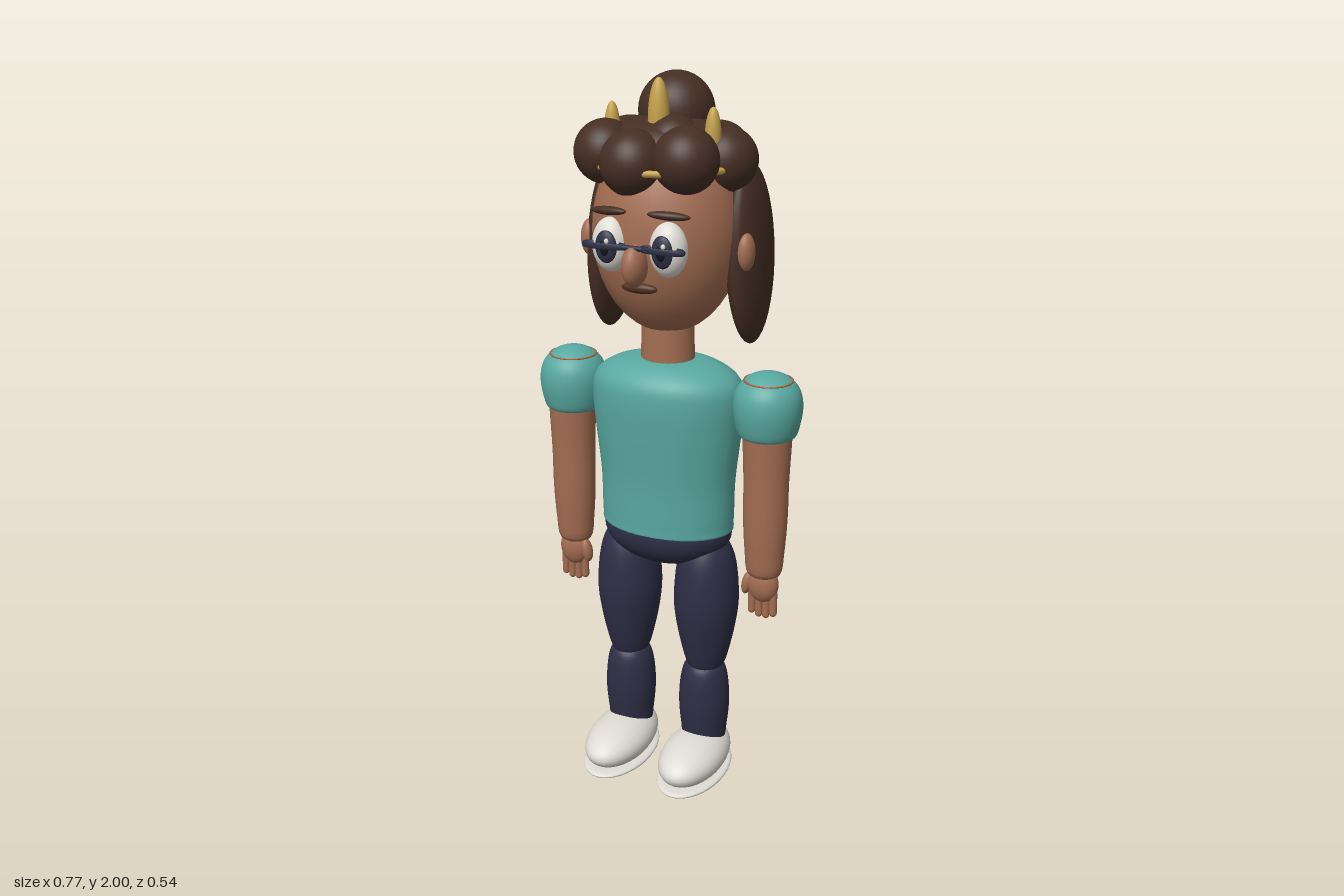
import * as THREE from 'three';

const mat = (name, color) => new THREE.MeshStandardMaterial({ name, color });

export function createModel() {
  const model = new THREE.Group();
  model.name = 'figure';

  const skin = mat('skin', 0xa26d51);
  const hair = mat('hair', 0x452e24);
  const teal = mat('shirt teal', 0x58a8a0);
  const navy = mat('trouser navy', 0x2e2e46);
  const white = mat('white', 0xdedcd4);
  const gold = mat('gold', 0xc4a24a);
  const trim = mat('sleeve trim', 0xb5603c);
  const lipBrown = mat('dark brown', 0x52301f);
  const black = mat('pupil black', 0x14141c);

  const add = (name, geometry, material, pos = [0, 0, 0], scale = [1, 1, 1], rot = [0, 0, 0]) => {
    const mesh = new THREE.Mesh(geometry, material);
    mesh.name = name;
    mesh.position.set(...pos);
    mesh.scale.set(...scale);
    mesh.rotation.set(...rot);
    model.add(mesh);
    return mesh;
  };
  const ball = new THREE.SphereGeometry(1, 32, 20);
  const blob = (name, material, pos, radii, rot) => add(name, ball, material, pos, radii, rot);

  // Smooth turned shape through [radius, y] points listed from bottom to top
  const turned = (points, steps = 28) => {
    const curve = new THREE.SplineCurve(points.map(([r, y]) => new THREE.Vector2(r, y)));
    const profile = curve.getPoints(steps).map((p) => new THREE.Vector2(Math.max(p.x, 0), p.y));
    return new THREE.LatheGeometry(profile, 36);
  };

  // Torso, pelvis and neck
  const torso = turned([[0, 0.77], [0.1, 0.768], [0.183, 0.772], [0.192, 0.80], [0.195, 0.92], [0.21, 1.06],
    [0.216, 1.15], [0.205, 1.205], [0.16, 1.24], [0.10, 1.257], [0, 1.26]], 50);
  add('shirt', torso, teal, [0, 0, 0.03], [1, 1, 0.68]);
  blob('pelvis', navy, [0, 0.765, 0.03], [0.187, 0.105, 0.132]);
  add('neck', new THREE.CylinderGeometry(0.07, 0.075, 0.16, 32), skin, [0, 1.305, 0.03], [1, 1, 0.9]);

  // Head
  blob('head', skin, [0, 1.6, 0.03], [0.2, 0.27, 0.187]);
  blob('nose', skin, [0, 1.548, 0.225], [0.031, 0.055, 0.045]);
  blob('mouth', lipBrown, [0, 1.485, 0.2], [0.05, 0.014, 0.014]);

  // Reusable limb shapes
  const arm = turned([[0, 0.665], [0.045, 0.675], [0.055, 0.74], [0.061, 0.84], [0.062, 0.95],
    [0.067, 1.08], [0.066, 1.14], [0, 1.18]]);
  const sleeve = turned([[0.06, 1.078], [0.077, 1.08], [0.088, 1.115], [0.093, 1.16], [0.086, 1.2],
    [0.064, 1.23], [0.033, 1.247], [0, 1.252]]);
  const thigh = turned([[0, 0.335], [0.045, 0.345], [0.068, 0.41], [0.088, 0.52], [0.09, 0.6],
    [0.078, 0.69], [0.05, 0.745], [0, 0.765]]);
  const shin = turned([[0, 0.09], [0.055, 0.1], [0.067, 0.16], [0.073, 0.24], [0.066, 0.32],
    [0.048, 0.36], [0, 0.375]]);
  const sole = turned([[0, 0], [0.04, 0.006], [0.075, 0.02], [0.083, 0.03], [0.093, 0.035],
    [0.093, 0.043], [0.075, 0.047], [0, 0.047]]);
  const finger = new THREE.CapsuleGeometry(0.011, 0.06, 4, 12);

  for (const [side, s] of [['left', 1], ['right', -1]]) {
    // Arm, sleeve and its trim ring
    add(`${side} arm`, arm, skin, [0.293 * s, 0, 0.036], [1, 1, 0.92]);
    add(`${side} sleeve`, sleeve, teal, [0.29 * s, 0, 0.03]).material = teal;
    add(`${side} sleeve trim`, new THREE.TorusGeometry(0.064, 0.0025, 8, 40), trim,
      [0.29 * s, 1.23, 0.03], [1, 1, 1], [Math.PI / 2, 0, 0]);

    // Hand
    blob(`${side} palm`, skin, [0.293 * s, 0.645, 0.042], [0.045, 0.055, 0.031]);
    blob(`${side} thumb`, skin, [0.25 * s, 0.643, 0.05], [0.015, 0.035, 0.018], [0, 0, -0.2 * s]);
    for (let i = 0; i < 4; i++) {
      const drop = i === 1 || i === 2 ? 0.582 : 0.59;
      add(`${side} finger`, finger, skin, [(0.262 + i * 0.021) * s, drop, 0.042]);
    }

    // Leg and shoe
    add(`${side} thigh`, thigh, navy, [0.12 * s, 0, 0.032], [1, 1, 1.08]);
    add(`${side} shin`, shin, navy, [0.118 * s, 0, 0.037]);
    blob(`${side} shoe`, white, [0.118 * s, 0.088, 0.103], [0.091, 0.062, 0.16]);
    add(`${side} shoe sole`, sole, white, [0.118 * s, 0, 0.103], [1, 1, 1.73]);

    // Eye, brow and ear
    blob(`${side} eye`, white, [0.08 * s, 1.59, 0.197], [0.05, 0.07, 0.041]);
    blob(`${side} iris`, navy, [0.078 * s, 1.59, 0.228], [0.03, 0.042, 0.014]);
    blob(`${side} pupil`, black, [0.078 * s, 1.59, 0.238], [0.014, 0.022, 0.007]);
    blob(`${side} eye glint`, white, [0.078 * s + 0.008, 1.607, 0.2425], [0.006, 0.007, 0.004]);
    blob(`${side} brow`, hair, [0.083 * s, 1.676, 0.203], [0.055, 0.011, 0.014], [0, 0.2 * s, -0.05 * s]);
    blob(`${side} ear`, skin, [0.223 * s, 1.565, 0.04], [0.024, 0.05, 0.03]);

    // Flat spectacle frame
    add(`${side} spectacle frame`, new THREE.TorusGeometry(0.055, 0.008, 10, 36), navy,
      [0.08 * s, 1.595, 0.235], [1, 0.28, 1], [Math.PI / 2, 0, 0]);

    // Long side lock
    blob(`${side} hair lock`, hair, [0.2 * s, 1.54, -0.05], [0.049, 0.24, 0.122], [0, 0, 0.04 * s]);
  }
  add('spectacle bridge', new THREE.CylinderGeometry(0.007, 0.007, 0.08, 12), navy,
    [0, 1.595, 0.238], [1, 1, 1], [0, 0, Math.PI / 2]);

  // Hair: bun, back lock, scalp cover and a ring of curls
  blob('hair bun', hair, [0, 1.9, -0.025], [0.1, 0.1, 0.095]);
  blob('back hair lock', hair, [0, 1.65, -0.195], [0.078, 0.22, 0.077]);
  blob('scalp hair', hair, [0, 1.82, 0.01], [0.17, 0.08, 0.16]);
  const curls = [
    [-0.037, 1.79, 0.155, 0.085], [0.1, 1.803, 0.138, 0.084], [-0.145, 1.803, 0.092, 0.083],
    [0.152, 1.79, 0.01, 0.084], [-0.135, 1.79, -0.03, 0.09], [-0.03, 1.8, -0.1, 0.086],
    [0.095, 1.79, -0.085, 0.083], [-0.085, 1.78, -0.085, 0.075], [0.035, 1.83, 0.07, 0.075],
  ];
  curls.forEach(([x, y, z, r]) => blob('hair curl', hair, [x, y, z], [r, r, r]));

  // Crown: hidden band with three spikes
  add('crown band', new THREE.TorusGeometry(0.185, 0.009, 10, 48), gold,
    [0, 1.775, 0.025], [1, 1, 1], [Math.PI / 2, 0, 0]);
  blob('centre crown spike', gold, [0, 1.885, 0.082], [0.028, 0.108, 0.027]);
  for (const s of [1, -1]) {
    blob('side crown spike', gold, [0.14 * s, 1.85, 0.064], [0.021, 0.076, 0.021]);
  }

  return model;
}
